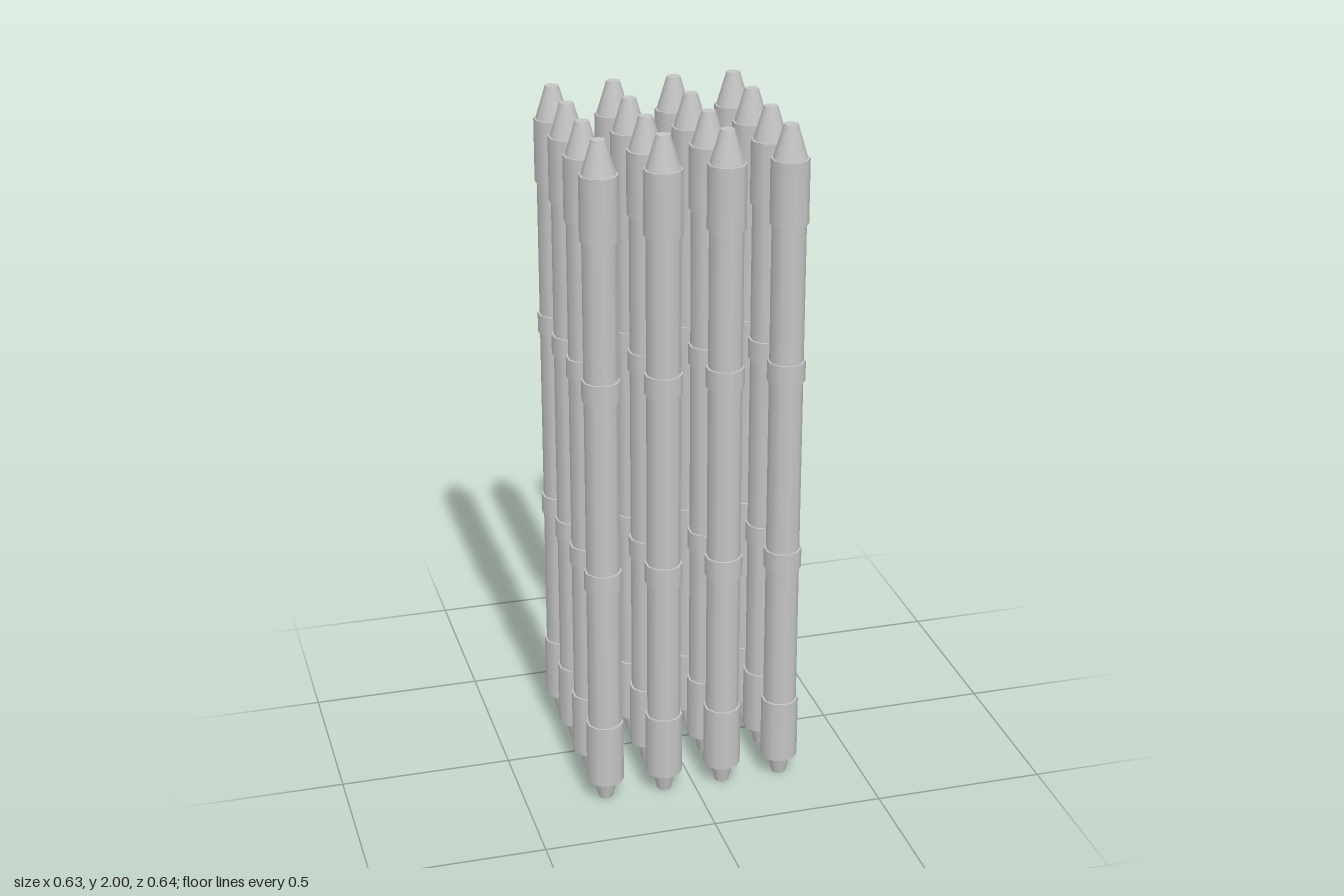
import * as THREE from 'three';

const SIDES = 10;
const SPACING = 0.177;
const CORE = 0.048, COLLAR = 0.054;

export function createModel() {
  const model = new THREE.Group();
  model.name = 'rodBundle';
  const grey = new THREE.MeshStandardMaterial({ color: 0xc4c4c4 });
  grey.name = 'light grey metal';

  // name, bottom y, top y, bottom radius, top radius
  const sections = [
    ['nozzle', 0, 0.06, 0.021, 0.034],
    ['lowerCollar', 0.06, 0.25, COLLAR, COLLAR],
    ['tube', 0.2, 1.8, CORE, CORE],
    ['lowerBand', 0.68, 0.74, COLLAR, COLLAR],
    ['upperBand', 1.26, 1.32, COLLAR, COLLAR],
    ['upperCollar', 1.72, 1.905, COLLAR, COLLAR],
    ['noseCone', 1.905, 2, CORE, 0.0195],
  ].map(([name, y0, y1, r0, r1]) => {
    const geometry = new THREE.CylinderGeometry(r1, r0, y1 - y0, SIDES);
    geometry.translate(0, (y0 + y1) / 2, 0);
    return { name, geometry };
  });

  // Four by four grid of identical rods
  for (let i = 0; i < 4; i++) {
    for (let j = 0; j < 4; j++) {
      const rod = new THREE.Group();
      rod.name = `rod${i + 1}_${j + 1}`;
      for (const { name, geometry } of sections) {
        const mesh = new THREE.Mesh(geometry, grey);
        mesh.name = name;
        rod.add(mesh);
      }
      rod.position.set((i - 1.5) * SPACING, 0, (j - 1.5) * SPACING);
      model.add(rod);
    }
  }
  return model;
}
